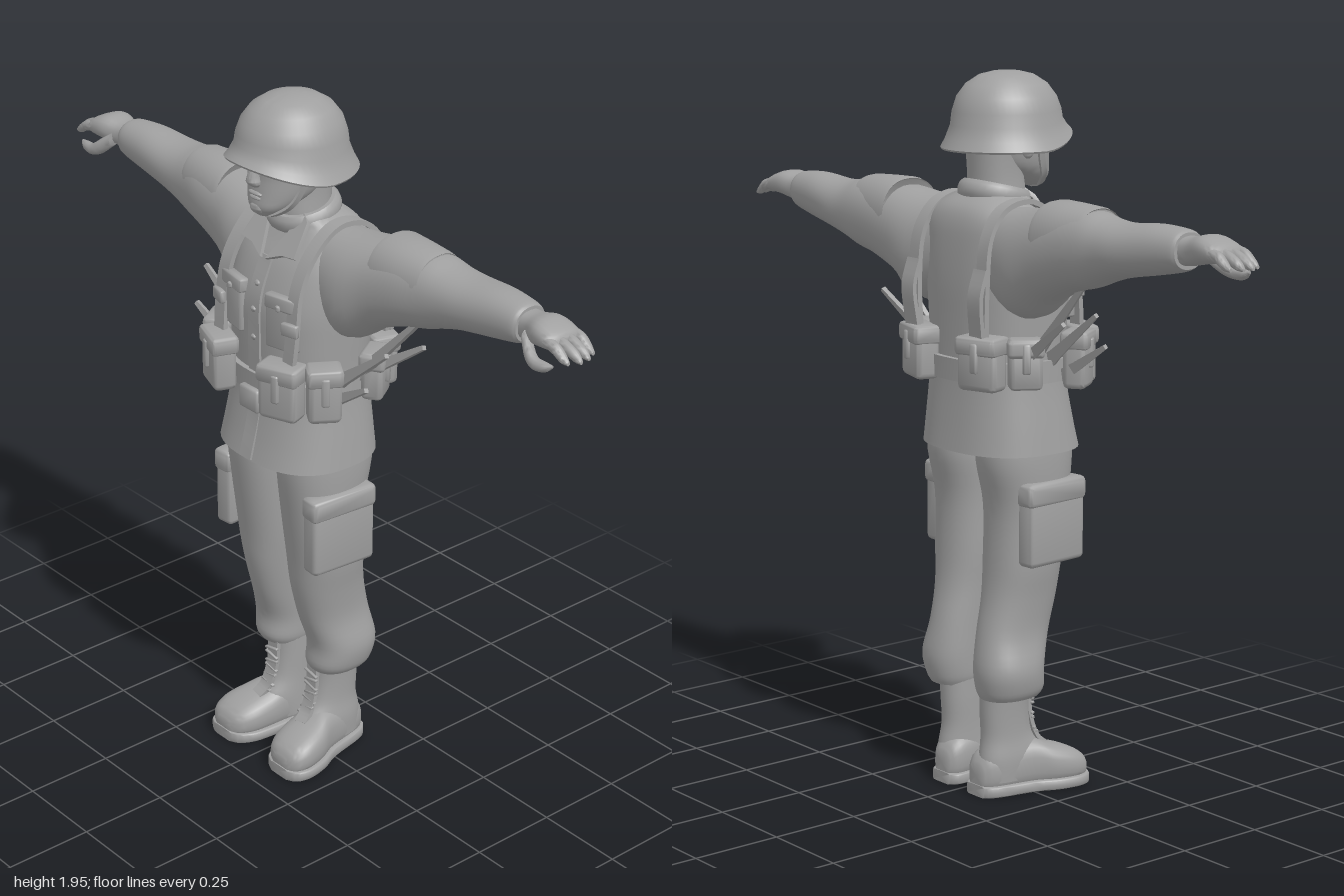
import * as THREE from 'three';
import { toCreasedNormals, mergeVertices } from 'three/addons/utils/BufferGeometryUtils.js';
import { RoundedBoxGeometry } from 'three/addons/geometries/RoundedBoxGeometry.js';

const V = (x, y, z) => new THREE.Vector3(x, y, z);

// Skin a list of closed rings, cap both ends and face outwards
function skin(rings) {
  const n = rings[0].length, pts = rings.flat(), idx = [];
  for (let i = 0; i < rings.length - 1; i++) {
    for (let j = 0; j < n; j++) {
      const a = i * n + j, b = i * n + (j + 1) % n;
      idx.push(a, a + n, b, b, a + n, b + n);
    }
  }
  [rings[0], rings[rings.length - 1]].forEach((ring, k) => {
    const start = k * (rings.length - 1) * n, c = pts.length;
    pts.push(ring.reduce((s, p) => s.add(p), V(0, 0, 0)).divideScalar(n));
    for (let j = 0; j < n; j++) {
      const a = start + j, b = start + (j + 1) % n;
      if (k) idx.push(c, b, a); else idx.push(c, a, b);
    }
  });
  let volume = 0;
  for (let i = 0; i < idx.length; i += 3) {
    volume += pts[idx[i]].dot(pts[idx[i + 1]].clone().cross(pts[idx[i + 2]]));
  }
  if (volume < 0) idx.reverse();
  const geo = new THREE.BufferGeometry().setFromPoints(pts);
  geo.setIndex(idx);
  return geo;
}

// Smooth loft along an axis; row = [position, centreA, centreB, radiusA, radiusB]
function loft(axis, rows, power = 2.2, sides = 32, steps = 4) {
  const rings = [];
  const spline = (a, b, c, d, t) => b + 0.5 * t * (c - a + t * (2 * a - 5 * b + 4 * c - d + t * (3 * (b - c) + d - a)));
  const last = rows.length - 1;
  for (let i = 0; i <= last * steps; i++) {
    const k = Math.min(Math.floor(i / steps), last - 1), t = i / steps - k;
    const at = (m) => rows[Math.max(0, Math.min(last, m))];
    const r = rows[0].map((_, q) => spline(at(k - 1)[q], at(k)[q], at(k + 1)[q], at(k + 2)[q], t));
    rings.push(Array.from({ length: sides }, (_, j) => {
      const w = j / sides * Math.PI * 2, f = (s) => Math.sign(s) * Math.abs(s) ** (2 / power);
      const a = r[1] + r[3] * f(Math.cos(w)), b = r[2] + r[4] * f(Math.sin(w));
      return axis === 'y' ? V(a, r[0], b) : axis === 'x' ? V(r[0], a, b) : V(a, b, r[0]);
    }));
  }
  return skin(rings);
}

// Flat strap swept along a curve, with a fixed width direction
function strap(points, dir, width, thick, steps = 20, taper = 1) {
  const curve = new THREE.CatmullRomCurve3(points.map((p) => V(...p)));
  const rings = [];
  for (let i = 0; i <= steps; i++) {
    const p = curve.getPoint(i / steps), tan = curve.getTangent(i / steps);
    const s = 1 + (taper - 1) * i / steps;
    const side = V(...dir).addScaledVector(tan, -tan.dot(V(...dir))).normalize();
    const up = tan.clone().cross(side).multiplyScalar(thick / 2);
    side.multiplyScalar(width * s / 2);
    rings.push([[1, 1], [-1, 1], [-1, -1], [1, -1]].map(([a, b]) => p.clone().addScaledVector(side, a).addScaledVector(up, b)));
  }
  return skin(rings);
}

const box = (w, h, d, x, y, z, ry = 0, rx = 0, rz = 0) =>
  mergeVertices(new RoundedBoxGeometry(w, h, d, 2, Math.min(w, h, d) * 0.25))
    .applyMatrix4(new THREE.Matrix4().makeRotationFromEuler(new THREE.Euler(rx, ry, rz))).translate(x, y, z);
const ball = (x, y, z, rx, ry, rz) => new THREE.SphereGeometry(1, 16, 12).scale(rx, ry, rz).translate(x, y, z);

export function createModel() {
  const model = new THREE.Group();
  const grey = new THREE.MeshStandardMaterial({ color: 0xa0a0a0, side: THREE.DoubleSide });
  grey.name = 'plain grey';
  const add = (name, geo) => {
    const mesh = new THREE.Mesh(toCreasedNormals(geo, 0.8), grey);
    mesh.name = name;
    model.add(mesh);
  };
  const pair = (name, geo) => {
    const copy = geo.clone().scale(-1, 1, 1);
    copy.setIndex(Array.from(copy.index.array).reverse());
    add(name + 'Left', geo);
    add(name + 'Right', copy);
  };

  // Jacket
  add('jacket', loft('y', [
    [0.95, 0, 0.005, 0.215, 0.18], [1.02, 0, 0, 0.207, 0.168], [1.12, 0, -0.005, 0.195, 0.155],
    [1.2, 0, -0.005, 0.19, 0.153], [1.3, 0, -0.005, 0.195, 0.155], [1.4, 0, -0.008, 0.2, 0.155],
    [1.5, 0, -0.023, 0.2, 0.137], [1.56, 0, -0.038, 0.185, 0.115], [1.6, 0, -0.04, 0.14, 0.095],
    [1.63, 0, -0.02, 0.088, 0.078]], 2.5, 48));
  add('placket', strap([[0, 0.955, 0.186], [0, 1.1, 0.152], [0, 1.3, 0.152], [0, 1.42, 0.147], [0, 1.52, 0.108]], [1, 0, 0], 0.045, 0.008));
  for (const y of [1.3, 1.38, 1.45]) add('button', ball(0, y, y > 1.4 ? 0.141 : 0.155, 0.009, 0.009, 0.006));
  pair('chestPocket', box(0.1, 0.13, 0.025, 0.098, 1.36, 0.137, 0.2));
  pair('chestFlap', box(0.105, 0.04, 0.03, 0.098, 1.425, 0.137, 0.2, -0.1));
  pair('flapButton', ball(0.098, 1.415, 0.155, 0.009, 0.009, 0.006));
  const lapel = new THREE.Shape([[0.01, -0.06], [0.06, -0.035], [0.105, -0.03], [0.09, 0.07], [0.065, 0.09]].map((p) => new THREE.Vector2(...p)));
  pair('lapel', mergeVertices(new THREE.ExtrudeGeometry(lapel, { depth: 0.012, bevelEnabled: false })).rotateX(-0.62).translate(0, 1.56, 0.08));
  add('collar', new THREE.TorusGeometry(0.083, 0.018, 10, 32).rotateX(Math.PI / 2).scale(1, 1.5, 1).rotateX(0.25).translate(0, 1.622, -0.015));

  // Sleeves, shoulder patches and cuffs
  pair('sleeve', loft('x', [
    [0.08, 1.48, -0.04, 0.12, 0.1], [0.2, 1.462, -0.045, 0.145, 0.122], [0.3, 1.498, -0.055, 0.122, 0.11],
    [0.4, 1.522, -0.06, 0.107, 0.1], [0.47, 1.53, -0.065, 0.098, 0.091], [0.53, 1.535, -0.067, 0.081, 0.085],
    [0.6, 1.543, -0.068, 0.069, 0.081], [0.7, 1.556, -0.064, 0.064, 0.069], [0.78, 1.562, -0.06, 0.054, 0.058],
    [0.8, 1.563, -0.06, 0.046, 0.05]]));
  pair('shoulderPatch', loft('x', [[0.31, 1.535, -0.06, 0.1, 0.095], [0.32, 1.537, -0.06, 0.105, 0.1],
    [0.46, 1.541, -0.06, 0.096, 0.085], [0.47, 1.541, -0.06, 0.09, 0.08]], 2.3, 32, 2));

  // Hands
  pair('palm', loft('x', [[0.78, 1.564, -0.06, 0.038, 0.042], [0.82, 1.565, -0.058, 0.036, 0.042],
    [0.87, 1.575, -0.052, 0.036, 0.056], [0.92, 1.57, -0.052, 0.024, 0.056], [0.935, 1.565, -0.052, 0.012, 0.045]], 2.5, 20));
  [0.982, 0.997, 1, 0.985].forEach((tip, i) => {
    const z = -0.095 + i * 0.029;
    pair('finger', loft('x', [[0.9, 1.574, z, 0.014, 0.013], [0.94, 1.565, z, 0.016, 0.0145],
      [tip - 0.02, 1.55, z, 0.014, 0.013], [tip, 1.54, z, 0.005, 0.005]], 2, 12));
  });
  pair('thumb', loft('x', [[0.83, 1.555, -0.02, 0.02, 0.02], [0.86, 1.53, 0, 0.023, 0.018],
    [0.89, 1.514, 0.01, 0.017, 0.016], [0.925, 1.514, 0.008, 0.013, 0.013], [0.945, 1.521, 0.005, 0.004, 0.004]], 2, 12));

  // Trousers and cargo pockets
  pair('trouserLeg', loft('y', [
    [0.275, 0.105, -0.052, 0.065, 0.085], [0.3, 0.108, -0.052, 0.077, 0.096], [0.36, 0.111, -0.058, 0.083, 0.098],
    [0.45, 0.1, -0.037, 0.076, 0.104], [0.55, 0.1, -0.015, 0.083, 0.105], [0.65, 0.103, -0.005, 0.095, 0.106],
    [0.8, 0.104, 0.006, 0.1, 0.115], [0.92, 0.104, 0, 0.104, 0.135], [1, 0.104, 0, 0.1, 0.135]], 2.3));
  pair('cargoPocket', box(0.06, 0.2, 0.2, 0.19, 0.75, 0.022, -0.08));
  pair('cargoFlap', box(0.065, 0.065, 0.21, 0.192, 0.845, 0.022, -0.08));

  // Boots
  pair('bootShaft', loft('y', [[0.04, 0.085, -0.045, 0.055, 0.09], [0.1, 0.088, -0.033, 0.056, 0.1],
    [0.16, 0.085, -0.046, 0.051, 0.077], [0.23, 0.085, -0.053, 0.052, 0.072], [0.3, 0.088, -0.053, 0.055, 0.073]]));
  const foot = [[-0.142, 0.075, 0.055, 0.03, 0.035], [-0.11, 0.077, 0.066, 0.052, 0.06], [0, 0.095, 0.075, 0.06, 0.07],
    [0.06, 0.11, 0.066, 0.072, 0.06], [0.12, 0.12, 0.057, 0.074, 0.05], [0.16, 0.125, 0.048, 0.058, 0.037], [0.176, 0.126, 0.04, 0.03, 0.02]];
  pair('bootFoot', loft('z', foot, 2.6, 28));
  pair('bootSole', loft('z', foot.map(([z, x, , rx]) => [z * 1.02, x, 0.016, rx + 0.006, 0.016]), 8, 28));
  pair('bootTongue', strap([[0.085, 0.28, 0.02], [0.086, 0.2, 0.026], [0.09, 0.14, 0.048], [0.096, 0.115, 0.075]], [1, 0, 0], 0.04, 0.012));
  for (let i = 0; i < 7; i++) {
    const y = 0.255 - i * 0.021, z = 0.027 + Math.max(0, i - 2) ** 2 * 0.0016;
    pair('lace', box(0.05, 0.007, 0.01, 0.086, y, z + 0.002, 0, 0, i % 2 ? 0.2 : -0.2));
  }

  // Neck, head and face
  add('neck', loft('y', [[1.56, 0, -0.02, 0.085, 0.08], [1.63, 0, -0.01, 0.075, 0.076],
    [1.7, 0, -0.015, 0.073, 0.072], [1.8, 0, -0.015, 0.08, 0.08]]));
  add('head', loft('y', [[1.64, 0, 0.105, 0.028, 0.03], [1.665, 0, 0.088, 0.058, 0.062], [1.7, 0, 0.052, 0.08, 0.096],
    [1.75, 0, 0.036, 0.091, 0.108], [1.79, 0, 0.033, 0.097, 0.113], [1.86, 0, 0.03, 0.1, 0.115]]));
  add('nose', loft('y', [[1.722, 0, 0.142, 0.012, 0.012], [1.735, 0, 0.15, 0.02, 0.02], [1.75, 0, 0.151, 0.016, 0.019], [1.8, 0, 0.142, 0.01, 0.012]], 2, 14));
  add('upperLip', ball(0, 1.704, 0.146, 0.026, 0.006, 0.009));
  add('lowerLip', ball(0, 1.692, 0.145, 0.022, 0.006, 0.009));
  add('chin', ball(0, 1.664, 0.137, 0.026, 0.018, 0.018));
  pair('brow', ball(0.036, 1.788, 0.138, 0.026, 0.008, 0.01));
  pair('eye', ball(0.036, 1.768, 0.129, 0.016, 0.008, 0.009));
  pair('ear', ball(0.098, 1.755, 0.018, 0.012, 0.034, 0.022));
  pair('chinStrap', strap([[0.106, 1.8, 0.055], [0.096, 1.73, 0.065], [0.075, 1.675, 0.09], [0.03, 1.643, 0.115], [0, 1.638, 0.12]], [0, 0.3, 1], 0.018, 0.007));

  // Helmet, its brim raised over the face
  const helmet = new THREE.LatheGeometry([[0.001, 1.88], [0.1, 1.85], [0.122, 1.78], [0.165, 1.741], [0.168, 1.746], [0.156, 1.77],
    [0.143, 1.805], [0.139, 1.84], [0.127, 1.88], [0.104, 1.912], [0.07, 1.935], [0.035, 1.944], [0.0005, 1.947]].map((p) => new THREE.Vector2(...p)), 48);
  const hp = helmet.attributes.position;
  for (let i = 0; i < hp.count; i++) {
    const z = hp.getZ(i), fade = THREE.MathUtils.clamp((1.87 - hp.getY(i)) / 0.12, 0, 1);
    hp.setXYZ(i, hp.getX(i), hp.getY(i) + fade * Math.max(0, z / 0.168) ** 1.5 * 0.052, z * 1.07 + 0.025);
  }
  add('helmet', helmet);

  // Belt, buckle and pouches
  add('belt', loft('y', [[1.14, 0, -0.005, 0.204, 0.166], [1.2, 0, -0.005, 0.204, 0.168]], 2.5, 48, 1));
  add('buckle', box(0.075, 0.065, 0.025, 0, 1.125, 0.165));
  const pouches = [[0.115, 0.15, 0.065, 0.13, 1.195, 0.168, 0.35], [0.09, 0.15, 0.065, 0.213, 1.195, 0.095, 1.0],
    [0.12, 0.14, 0.07, 0.13, 1.2, -0.165, -0.3], [0.09, 0.13, 0.06, 0.21, 1.2, -0.085, -1.0]];
  for (const [w, h, d, x, y, z, ry] of pouches) {
    pair('pouch', box(w, h, d, x, y, z, ry));
    pair('pouchFlap', box(w + 0.008, 0.05, d + 0.012, x, y + h / 2 - 0.02, z, ry));
    pair('pouchTab', box(0.022, 0.08, d + 0.02, x, y + 0.02, z, ry));
  }

  // Shoulder harness
  pair('harness', strap([[0.14, 1.24, 0.155], [0.145, 1.36, 0.143], [0.14, 1.47, 0.125], [0.135, 1.56, 0.07], [0.135, 1.615, -0.01],
    [0.135, 1.6, -0.1], [0.14, 1.53, -0.155], [0.142, 1.4, -0.172], [0.135, 1.22, -0.17]], [1, 0, 0], 0.04, 0.014, 40));
  pair('harnessClip', box(0.05, 0.035, 0.016, 0.145, 1.37, 0.153, 0.25));
  pair('backTab', strap([[0.14, 1.45, -0.175], [0.14, 1.38, -0.195], [0.135, 1.27, -0.185]], [1, 0, 0], 0.05, 0.012));

  // Thin equipment straps spreading from the hips
  [[0.42, 1.44, -0.06], [0.37, 1.34, 0.02], [0.38, 1.33, -0.1], [0.35, 1.25, 0.07]].forEach(([x, y, z]) =>
    pair('sideStrap', strap([[0.19, y > 1.3 ? 1.2 : 1.15, z * 0.8], [x, y, z]], [0.5, -0.8, 0.3], 0.04, 0.012, 4, 0.3)));

  return model;
}
